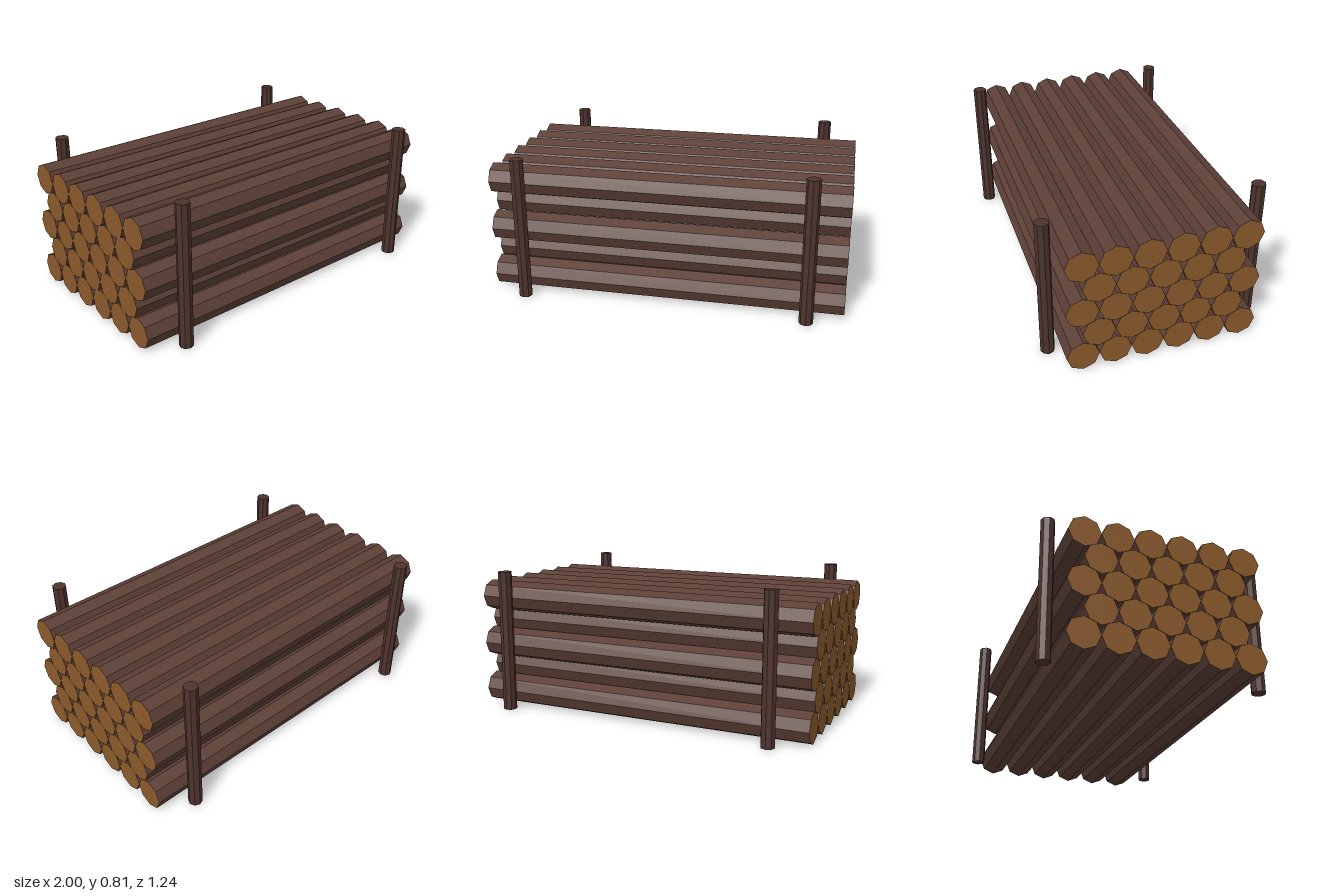
import * as THREE from 'three';

const bark = new THREE.MeshStandardMaterial({ name: 'bark', color: 0x5d4037, flatShading: true });
const cutWood = new THREE.MeshStandardMaterial({ name: 'cutWood', color: 0x8b5a2b, flatShading: true });
const postWood = new THREE.MeshStandardMaterial({ name: 'postWood', color: 0x4e342e, flatShading: true });

const R = 0.088;       // log radius
const PITCH = 0.176;   // spacing between logs in a row
const ROW = 0.1413;    // spacing between rows

export function createModel() {
  const model = new THREE.Group();
  model.name = 'logStack';

  // Octagonal logs lying along x, rows alternating six and five
  const logGeometry = new THREE.CylinderGeometry(R, R, 2, 8).rotateZ(Math.PI / 2);
  for (let row = 0; row < 5; row++) {
    const count = row % 2 ? 5 : 6;
    for (let i = 0; i < count; i++) {
      const log = new THREE.Mesh(logGeometry, [bark, cutWood, cutWood]);
      log.name = `log${row + 1}_${i + 1}`;
      log.position.set(0, R + row * ROW, (i - (count - 1) / 2) * PITCH);
      model.add(log);
    }
  }

  // Four upright stakes holding the stack
  const postGeometry = new THREE.CylinderGeometry(0.039, 0.039, 0.815, 8);
  for (const x of [-0.8, 0.8]) {
    for (const z of [-0.58, 0.58]) {
      const post = new THREE.Mesh(postGeometry, postWood);
      post.name = `${z > 0 ? 'front' : 'back'}${x > 0 ? 'Left' : 'Right'}Post`;
      post.position.set(x, 0.4075, z);
      model.add(post);
    }
  }
  return model;
}
